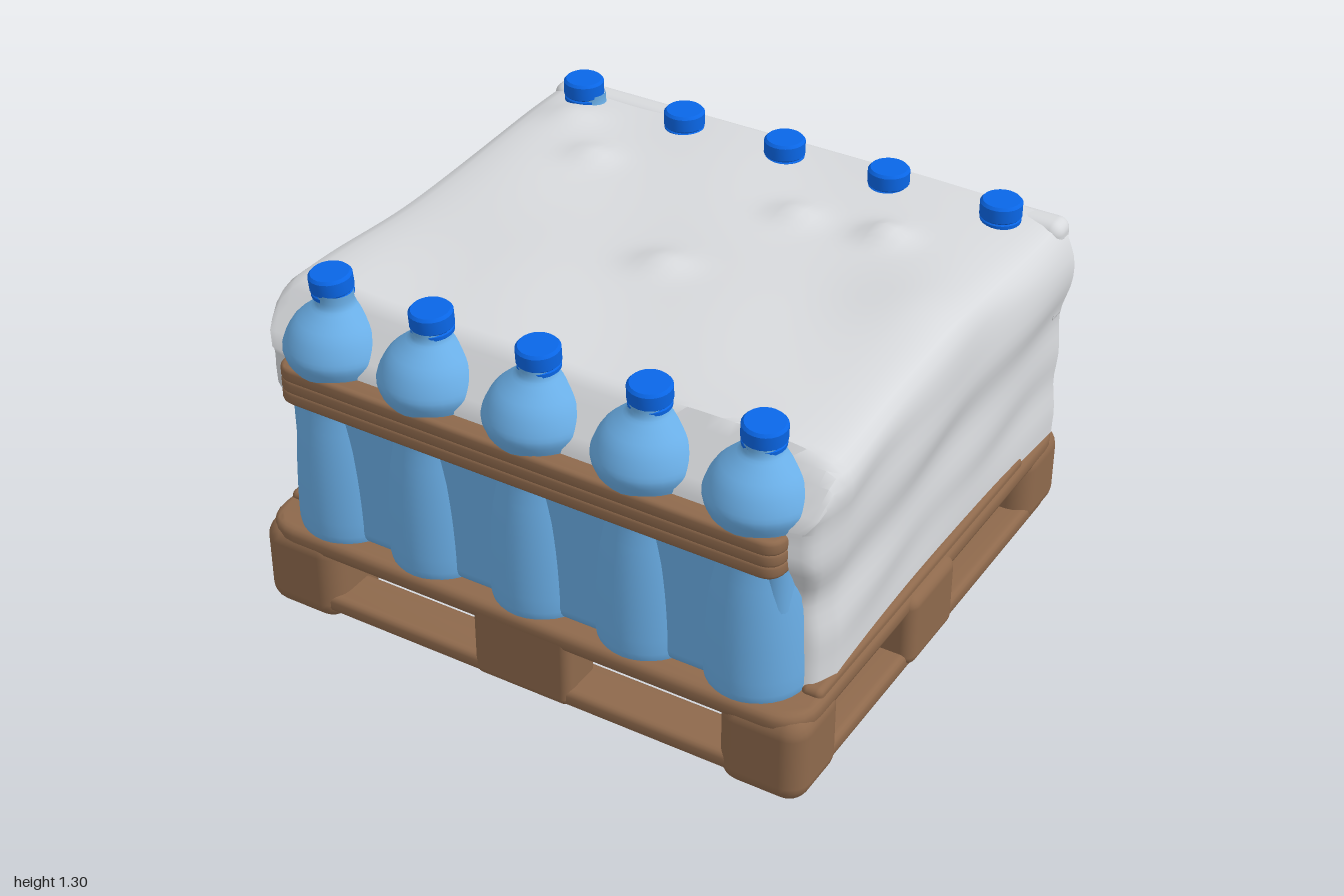
import * as THREE from 'three';
import { toCreasedNormals } from 'three/addons/utils/BufferGeometryUtils.js';
import { RoundedBoxGeometry } from 'three/addons/geometries/RoundedBoxGeometry.js';
import { ConvexGeometry } from 'three/addons/geometries/ConvexGeometry.js';

const mat = (name, color) => {
  const m = new THREE.MeshStandardMaterial({ color });
  m.name = name;
  return m;
};
const V2 = (x, y) => new THREE.Vector2(x, y);
const clamp01 = (v) => Math.min(1, Math.max(0, v));

export function createModel() {
  const wood = mat('brown pallet', 0x8e694c);
  const film = mat('grey film', 0xd7d9dc);
  const water = mat('light blue bottle', 0x6aaee6);
  const capBlue = mat('dark blue cap', 0x0a68ea);

  const model = new THREE.Group();
  const add = (parent, name, geo, material, x = 0, y = 0, z = 0) => {
    const m = new THREE.Mesh(geo, material);
    m.name = name;
    m.position.set(x, y, z);
    parent.add(m);
    return m;
  };
  const group = (name) => {
    const g = new THREE.Group();
    g.name = name;
    model.add(g);
    return g;
  };
  // box given by its limits, with rounded edges
  const block = (parent, name, material, x0, x1, y0, y1, z0, z1, r) =>
    add(parent, name, new RoundedBoxGeometry(x1 - x0, y1 - y0, z1 - z0, 3, r), material,
      (x0 + x1) / 2, (y0 + y1) / 2, (z0 + z1) / 2);
  const roundRect = (path, x0, x1, y0, y1, r) => {
    path.moveTo(x0 + r, y0);
    path.lineTo(x1 - r, y0).quadraticCurveTo(x1, y0, x1, y0 + r);
    path.lineTo(x1, y1 - r).quadraticCurveTo(x1, y1, x1 - r, y1);
    path.lineTo(x0 + r, y1).quadraticCurveTo(x0, y1, x0, y1 - r);
    path.lineTo(x0, y0 + r).quadraticCurveTo(x0, y0, x0 + r, y0);
    return path;
  };
  // plan shape (x, -z) raised from y0 to y1
  const slab = (shape, y0, y1, b) => {
    const g = new THREE.ExtrudeGeometry(shape, {
      depth: y1 - y0 - 2 * b, bevelEnabled: b > 0, bevelSize: b, bevelThickness: b,
      bevelSegments: 3, curveSegments: 6,
    });
    g.rotateX(-Math.PI / 2).translate(0, y0 + b, 0);
    return toCreasedNormals(g, 0.8);
  };

  // pallet: deck, eight posts, side rims, bottom ring with a middle rail
  const pallet = group('pallet');
  add(pallet, 'deck', slab(roundRect(new THREE.Shape(), -0.945, 0.945, -0.875, 0.875, 0.1), 0.335, 0.405, 0.025), wood);
  const ring = roundRect(new THREE.Shape(), -0.95, 0.95, -0.875, 0.875, 0.1);
  ring.holes.push(
    roundRect(new THREE.Path(), -0.8, 0.8, -0.75, -0.15, 0.06),
    roundRect(new THREE.Path(), -0.8, 0.8, 0.01, 0.73, 0.06));
  add(pallet, 'bottomRing', slab(ring, 0.125, 0.187, 0.02), wood);
  for (const s of [-1, 1]) {
    for (const t of [-1, 1]) {
      const x = s * 0.83, z = t * 0.77;
      block(pallet, 'cornerPost', wood, x - 0.145, x + 0.145, t > 0 ? 0.08 : 0.1, 0.4, z - 0.135, z + 0.135, 0.07);
    }
    block(pallet, 'endMiddlePost', wood, -0.17, 0.18, 0.12, 0.4, s * 0.82 - 0.08, s * 0.82 + 0.08, 0.03);
    block(pallet, 'sideMiddlePost', wood, s * 0.905 - 0.085, s * 0.905 + 0.085, 0.135, 0.4, -0.08, 0.22, 0.04);
    block(pallet, 'sideRim', wood, s * 0.925 - 0.035, s * 0.925 + 0.035, 0.37, 0.428, -0.62, 0.76, 0.02);
  }
  // sagging underside of the back rail
  const sag = [[0, 0, -0.78], [0, 0, -0.83]];
  for (const x of [-0.93, 0.93])
    for (const z of [-0.885, -0.7]) sag.push([x, 0.115, z], [x, 0.165, z]);
  add(pallet, 'saggingRail', new ConvexGeometry(sag.map((p) => new THREE.Vector3(...p))), wood);

  // bottles in a front and a back row, waisted below the shoulder
  const bottleProfile = new THREE.SplineCurve([
    V2(0.15, 0.39), V2(0.164, 0.43), V2(0.16, 0.6), V2(0.148, 0.75), V2(0.132, 0.88), V2(0.14, 0.96),
    V2(0.167, 1.03), V2(0.166, 1.07), V2(0.135, 1.13), V2(0.085, 1.175), V2(0.06, 1.2), V2(0.058, 1.24),
  ]).getPoints(33);
  const bottleGeo = new THREE.LatheGeometry(bottleProfile, 32);
  const capGeo = toCreasedNormals(new THREE.LatheGeometry([
    V2(0, -0.035), V2(0.06, -0.035), V2(0.066, -0.03), V2(0.066, -0.018), V2(0.062, -0.014),
    V2(0.068, -0.008), V2(0.068, 0.036), V2(0.06, 0.045), V2(0, 0.045),
  ], 24), 0.6);
  const rows = [
    { name: 'front', z: 0.73, capZ: 0.722, xs: [-0.75, -0.385, -0.01, 0.365, 0.735], endX: 0.735, capY: 1.237, lean: 0.06 },
    { name: 'back', z: -0.735, capZ: -0.73, xs: [-0.785, -0.39, -0.01, 0.37, 0.765], endX: 0.77, capY: 1.23, lean: 0 },
  ];
  for (const row of rows) {
    const bottles = group(row.name + 'Bottles');
    row.xs.forEach((x, i) => {
      const bx = i === 0 || i === 4 ? Math.sign(x) * row.endX : x;
      add(bottles, 'bottle', bottleGeo, water, bx, 0, row.z);
      const cap = add(bottles, 'cap', capGeo, capBlue, x, row.capY + (i === 0 ? 0.01 : 0), row.capZ);
      cap.rotation.set(row.lean, 0, row.lean * (i - 2) * -0.4);
    });
  }
  block(model, 'frontBottleFill', water, -0.87, 0.87, 0.39, 1.0, 0.5, 0.835, 0.05);
  block(model, 'backBottleFill', water, -0.91, 0.91, 0.39, 1.13, -0.85, -0.5, 0.04);

  // film cover: a lofted arch along z with soft wrinkles and closed ends
  const half = [[0.94, 0.4], [0.94, 0.5], [0.935, 0.7], [0.945, 0.86], [0.958, 1.0], [0.957, 1.1], [0.915, 1.175], [0.83, 1.2], [0.45, 1.205]];
  const arch = new THREE.CatmullRomCurve3([
    ...half.map(([x, y]) => new THREE.Vector3(x, y, 0)),
    new THREE.Vector3(0, 1.205, 0),
    ...half.slice().reverse().map(([x, y]) => new THREE.Vector3(-x, y, 0)),
  ], false, 'centripetal');
  const NU = 90, NV = 60;
  const archPts = arch.getSpacedPoints(NU);
  // raised creases on top: x, z, height, radius
  const bumps = [[0, 0.06, 0.03, 0.12], [0.2, -0.42, 0.03, 0.1], [0.5, -0.45, 0.04, 0.1], [-0.55, -0.4, 0.025, 0.1],
    [-0.75, -0.6, 0.02, 0.12], [0.8, -0.1, 0.015, 0.25]];
  const coverGeo = new THREE.PlaneGeometry(1, 1, NU, NV);
  const pos = coverGeo.attributes.position;
  for (let j = 0; j <= NV; j++) {
    const t = clamp01((j - 1) / (NV - 2));
    const z0 = 0.82 - 1.65 * t;
    const f = clamp01((0.82 - z0) / 0.17);
    for (let i = 0; i <= NU; i++) {
      let { x, y } = archPts[i];
      let z = z0;
      const side = clamp01((Math.abs(x) - 0.85) / 0.08);
      const rise = clamp01((y - 0.42) / 0.2);
      x *= (0.93 + 0.07 * Math.sqrt(f)) * (1 + 0.035 * z0 * z0);
      x += Math.sign(x) * side * rise * (0.008 * Math.sin(y * 22 + z0 * 2) + 0.006 * Math.sin(z0 * 9 + y * 7));
      if (y > 1.15) {
        y += 0.008 * Math.sin(z0 * 7 + x * 2) + 0.004 * Math.sin(x * 9 - z0 * 5);
        for (const [bx, bz, h, r] of bumps) y += h * Math.exp(-((x - bx) ** 2 + (z0 - bz) ** 2) / (r * r) * 2);
      }
      // slope down between the front bottles
      y = Math.min(y, 1.02 + 1.3 * (0.82 - z0));
      // lower front edge is drawn back from the bottles
      z -= 0.07 * (1 - f) * clamp01((0.9 - y) / 0.15);
      if (j === 0 || j === NV) { x = 0; y = 0.8; z = j ? -0.83 : 0.78; }
      pos.setXYZ(j * (NU + 1) + i, x, y, z);
    }
  }
  add(model, 'filmCover', toCreasedNormals(coverGeo, 0.9), film);

  // rolled film lip along the top of the back
  block(model, 'filmLip', film, -0.94, 0.955, 1.115, 1.205, -0.87, -0.76, 0.04);

  // film band that follows the back bottles
  const band = new THREE.Shape();
  band.moveTo(0.945, 0.78);
  band.lineTo(0.945, 0.82);
  for (let i = 0; i <= 80; i++) {
    const x = 0.92 - 1.84 * i / 80;
    band.lineTo(x, 0.843 + 0.04 * Math.abs(Math.cos(Math.PI * x / 0.38)));
  }
  band.lineTo(-0.945, 0.82);
  band.lineTo(-0.945, 0.78);
  add(model, 'backFilmBand', slab(band, 0.86, 0.97, 0.012), film);

  // brown strap of three soft ridges across the front
  const strap = group('frontStrap');
  for (let i = 0; i < 3; i++) {
    const shape = roundRect(new THREE.Shape(), -0.865, 0.85, -0.868, -0.74, 0.05);
    add(strap, 'strapRidge', slab(shape, 0.87 + i * 0.04, 0.922 + i * 0.04, 0.014), wood);
  }
  strap.rotation.z = -0.006;

  return model;
}
